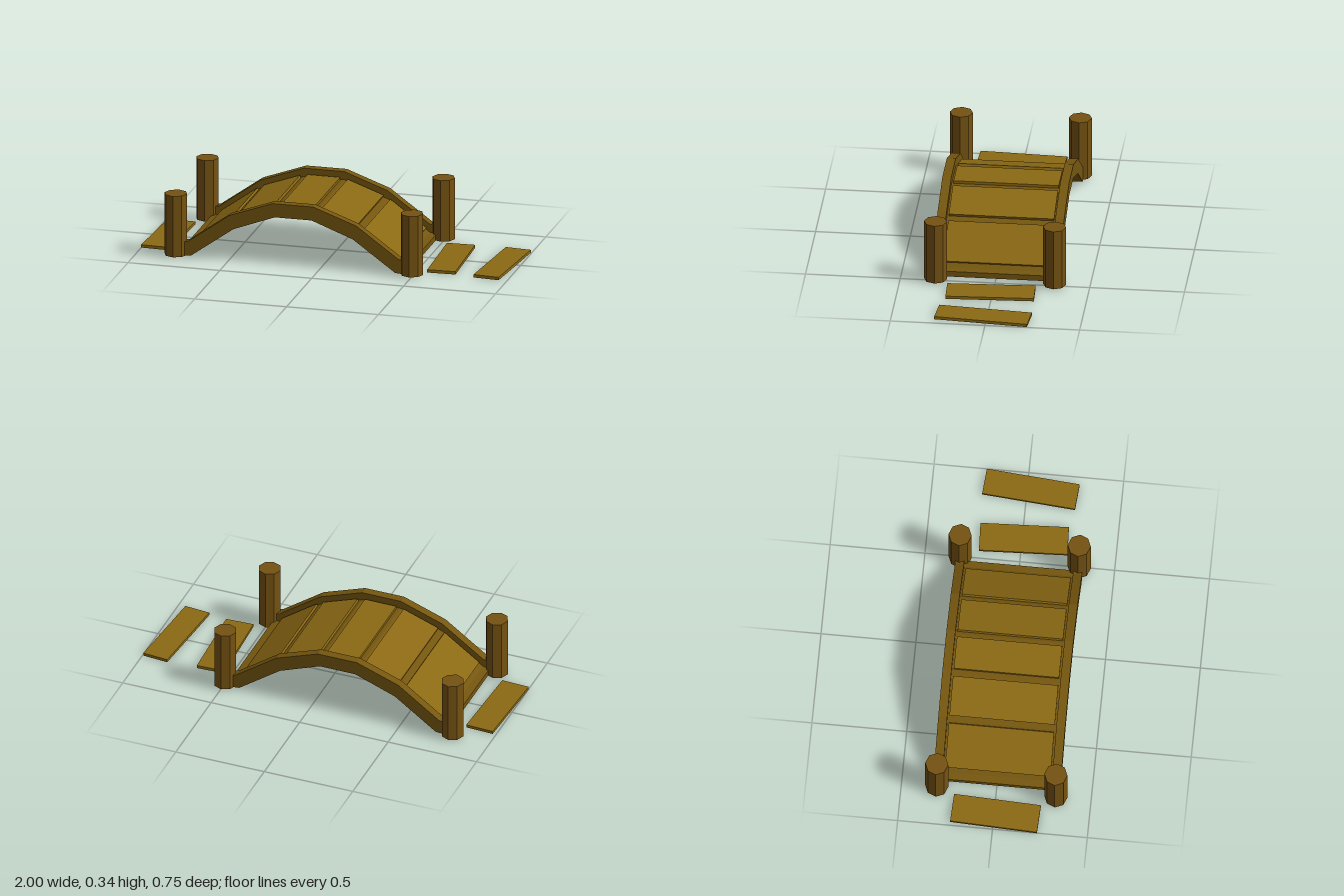
import * as THREE from 'three';

const CX = -0.147; // middle of the arch

export function createModel() {
  const model = new THREE.Group();
  const wood = (color) => new THREE.MeshStandardMaterial({ color, flatShading: true });
  const plankWood = wood(0x8b6914), railWood = wood(0x75560f), postWood = wood(0x755212);

  const add = (name, geometry, material, x, y, z) => {
    const mesh = new THREE.Mesh(geometry, material);
    mesh.name = name;
    mesh.position.set(x, y, z);
    model.add(mesh);
    return mesh;
  };

  // Half profiles of the arch, from the crown out to the foot
  const top = [[0.11, 0.34], [0.345, 0.255], [0.575, 0.09], [0.612, 0.085]];
  const under = [[0.1, 0.265], [0.325, 0.18], [0.555, 0.015], [0.612, 0.01]];
  const mirrored = (half) => [...half.map(([x, y]) => [-x, y]).reverse(), ...half];

  // Arched slab: the top edge is lowered by drop, the underside is shared
  const arch = (drop, depth) => {
    const outline = [
      ...mirrored(top.map(([x, y]) => [x, y - drop])),
      ...mirrored(under).reverse(),
    ].map(([x, y]) => new THREE.Vector2(x, y));
    return new THREE.ExtrudeGeometry(new THREE.Shape(outline), { depth, bevelEnabled: false })
      .translate(0, 0, -depth / 2);
  };

  // Side rails and the lower deck between them
  for (const s of [1, -1]) add(s > 0 ? 'frontRail' : 'backRail', arch(0, 0.047), railWood, CX, 0, s * 0.311);
  add('deckBase', arch(0.045, 0.575), railWood, CX, 0, 0);

  // Raised deck planks, one on each straight run of the arch
  const joints = mirrored(top.slice(0, 3));
  for (let i = 0; i < joints.length - 1; i++) {
    const [x0, y0] = joints[i], [x1, y1] = joints[i + 1];
    const angle = Math.atan2(y1 - y0, x1 - x0);
    const length = Math.hypot(x1 - x0, y1 - y0) - 0.042;
    const plank = add('deckPlank', new THREE.BoxGeometry(length, 0.024, 0.555), plankWood,
      CX + (x0 + x1) / 2 + Math.sin(angle) * 0.012, (y0 + y1) / 2 - 0.03 - Math.cos(angle) * 0.012, 0);
    plank.rotation.z = angle;
  }

  // Eight-sided corner posts
  const postGeometry = new THREE.CylinderGeometry(0.061, 0.061, 0.336, 8);
  for (const x of [-0.79, 0.495])
    for (const z of [-0.314, 0.314]) add('post', postGeometry, postWood, x, 0.178, z);

  // Loose stepping planks: x, z, width, length, turn
  const steps = [
    [-0.915, 0.008, 0.152, 0.46, -0.043],
    [0.625, 0.01, 0.152, 0.465, 0.043],
    [0.905, 0.02, 0.14, 0.495, -0.082],
  ];
  for (const [x, z, w, l, turn] of steps)
    add('steppingPlank', new THREE.BoxGeometry(w, 0.016, l), plankWood, x, 0.01, z).rotation.y = turn;

  return model;
}
